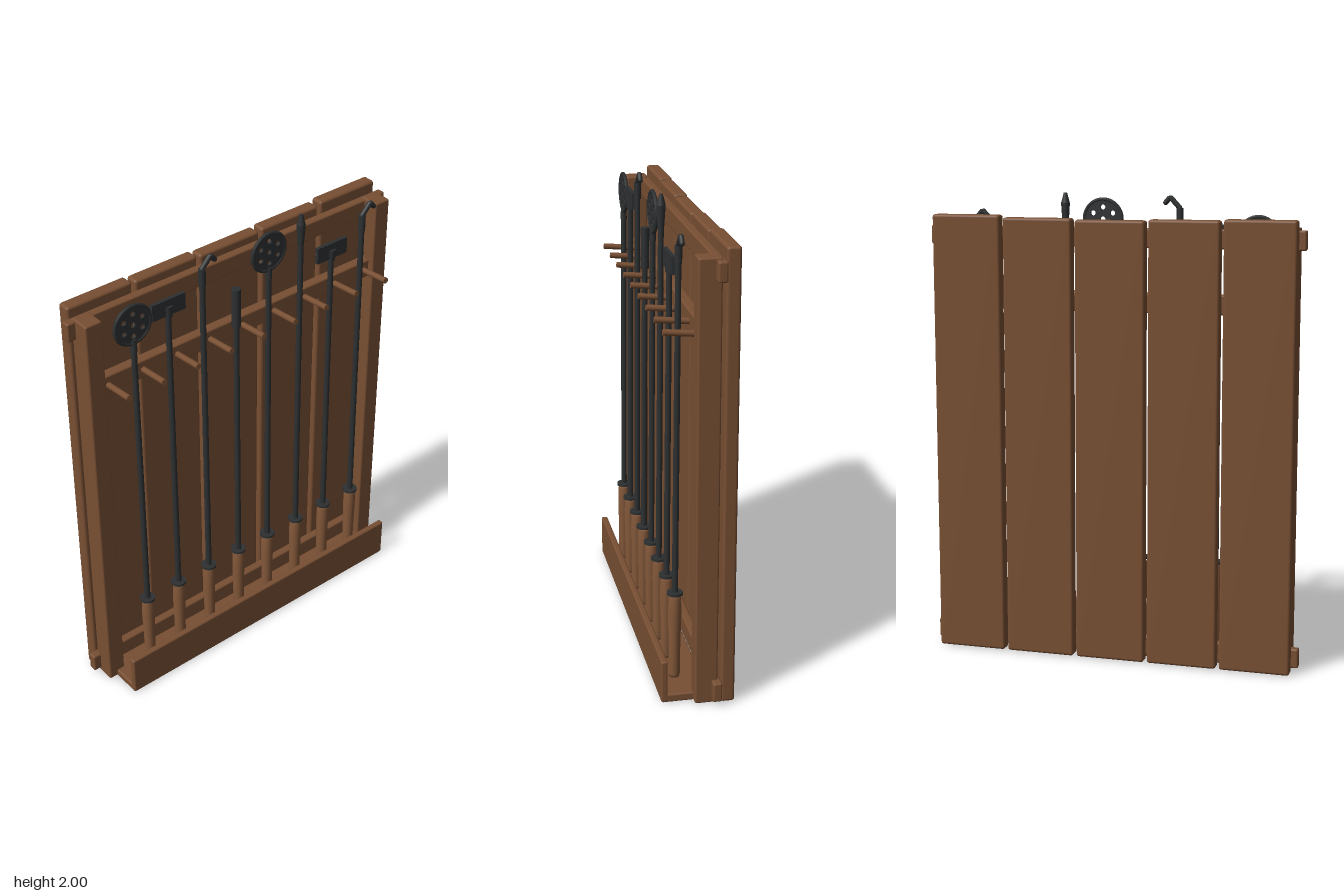
import * as THREE from 'three';
import { RoundedBoxGeometry } from 'three/addons/geometries/RoundedBoxGeometry.js';

const wood = new THREE.MeshStandardMaterial({ color: 0x784f33 });
wood.name = 'wood';
const handleWood = new THREE.MeshStandardMaterial({ color: 0x825739 });
handleWood.name = 'handleWood';
const iron = new THREE.MeshStandardMaterial({ color: 0x2d3031 });
iron.name = 'iron';

function add(parent, name, geometry, material, x = 0, y = 0, z = 0) {
  const mesh = new THREE.Mesh(geometry, material);
  mesh.name = name;
  mesh.position.set(x, y, z);
  parent.add(mesh);
  return mesh;
}

// Softly rounded board given by its limits on each axis
function board(parent, name, x0, x1, y0, y1, z0, z1, r = 0.008) {
  const geometry = new RoundedBoxGeometry(x1 - x0, y1 - y0, z1 - z0, 2, r);
  return add(parent, name, geometry, wood, (x0 + x1) / 2, (y0 + y1) / 2, (z0 + z1) / 2);
}

// Upright rod between two heights
function rod(parent, name, rTop, rBottom, y0, y1, material = iron) {
  const geometry = new THREE.CylinderGeometry(rTop, rBottom, y1 - y0, 16);
  return add(parent, name, geometry, material, 0, (y0 + y1) / 2, 0);
}

// Pierced disc with a raised rim
function skimmer(tool, y) {
  const shape = new THREE.Shape().absarc(0, 0, 0.086, 0, Math.PI * 2);
  for (let i = 0; i < 7; i++) {
    const a = Math.PI / 2 + (i * Math.PI) / 3;
    const r = i === 6 ? 0 : 0.05;
    shape.holes.push(new THREE.Path().absarc(r * Math.cos(a), r * Math.sin(a), 0.011, 0, Math.PI * 2, true));
  }
  const disc = new THREE.ExtrudeGeometry(shape, { depth: 0.01, bevelEnabled: false, curveSegments: 16 });
  add(tool, 'skimmerDisc', disc.translate(0, 0, -0.005), iron, 0, y);
  add(tool, 'skimmerRim', new THREE.TorusGeometry(0.083, 0.008, 8, 40), iron, 0, y);
  rod(tool, 'skimmerSocket', 0.012, 0.015, y - 0.12, y - 0.07);
}

// Flat scraper blade on a socket
function scraper(tool, y) {
  add(tool, 'scraperBlade', new THREE.BoxGeometry(0.16, 0.072, 0.016), iron, 0, y);
  rod(tool, 'scraperSocket', 0.019, 0.017, y - 0.045, y + 0.005);
}

// Bent poker tip
function hook(tool, y) {
  rod(tool, 'hookNeck', 0.015, 0.015, y - 0.07, y);
  const points = [[0, y - 0.02], [0, y], [0.042, y + 0.045], [0.062, y + 0.022]];
  const path = new THREE.CurvePath();
  for (let i = 0; i < 3; i++) {
    path.add(new THREE.LineCurve3(
      new THREE.Vector3(...points[i], 0), new THREE.Vector3(...points[i + 1], 0)));
  }
  add(tool, 'hookTip', new THREE.TubeGeometry(path, 36, 0.011, 10), iron);
  add(tool, 'hookEnd', new THREE.SphereGeometry(0.011, 10, 8), iron, ...points[3], 0);
}

// Plain cylindrical head
function tamper(tool) {
  rod(tool, 'tamperHead', 0.019, 0.019, 1.61, 1.785);
}

// Pointed spear head
function spear(tool) {
  rod(tool, 'spearNeck', 0.019, 0.013, 1.86, 1.955);
  rod(tool, 'spearPoint', 0.007, 0.019, 1.955, 2.0);
}

export function createModel() {
  const model = new THREE.Group();
  model.name = 'toolRack';

  // Back planks
  [1.905, 1.9, 1.895, 1.9, 1.91].forEach((top, i) => {
    const x = (i - 2) * 0.317;
    board(model, 'backPlank', x - 0.151, x + 0.151, 0.004, top, -0.148, -0.09, 0.012);
  });

  // Posts and cross rails
  for (const s of [-1, 1]) {
    board(model, 'post', s * 0.738 - 0.039, s * 0.738 + 0.039, 0.003, 1.87, -0.078, 0.016);
  }
  board(model, 'topRail', -0.813, 0.813, 1.78, 1.862, -0.09, -0.052);
  board(model, 'bottomRail', -0.813, 0.813, 0.022, 0.106, -0.09, -0.052);

  // Peg rail with slightly raised pegs
  board(model, 'pegRail', -0.705, 0.705, 1.505, 1.59, -0.056, -0.01);
  for (let i = -4; i <= 4; i++) {
    const peg = add(model, 'peg', new THREE.CylinderGeometry(0.013, 0.013, 0.16, 12), wood, i * 0.168, 1.554, 0.05);
    peg.rotation.x = Math.PI / 2 - 0.1;
  }

  // Tray
  board(model, 'trayFloor', -0.738, 0.738, 0, 0.036, -0.05, 0.147);
  board(model, 'trayLip', -0.738, 0.738, 0.002, 0.187, 0.12, 0.148);

  // Tools: shaft top and head for each
  const heads = [
    [1.76, (t) => skimmer(t, 1.825)],
    [1.82, (t) => scraper(t, 1.838)],
    [1.9, (t) => hook(t, 1.94)],
    [1.65, tamper],
    [1.82, (t) => skimmer(t, 1.89)],
    [1.88, spear],
    [1.75, (t) => scraper(t, 1.772)],
    [1.83, (t) => hook(t, 1.875)],
  ];
  const handleProfile = [[0, 0.037], [0.021, 0.037], [0.024, 0.05], [0.025, 0.2], [0.028, 0.33], [0.026, 0.4], [0.02, 0.41], [0, 0.41]]
    .map(([r, y]) => new THREE.Vector2(r, y));
  heads.forEach(([top, buildHead], i) => {
    const tool = new THREE.Group();
    tool.name = 'tool';
    tool.position.set((i - 3.5) * 0.168, 0, 0.064);
    tool.rotation.x = -0.0065;
    add(tool, 'handle', new THREE.LatheGeometry(handleProfile, 18), handleWood);
    rod(tool, 'ferrule', 0.018, 0.02, 0.405, 0.425);
    rod(tool, 'collar', 0.033, 0.033, 0.413, 0.424);
    rod(tool, 'shaft', 0.012, 0.013, 0.41, top);
    buildHead(tool);
    model.add(tool);
  });

  return model;
}
